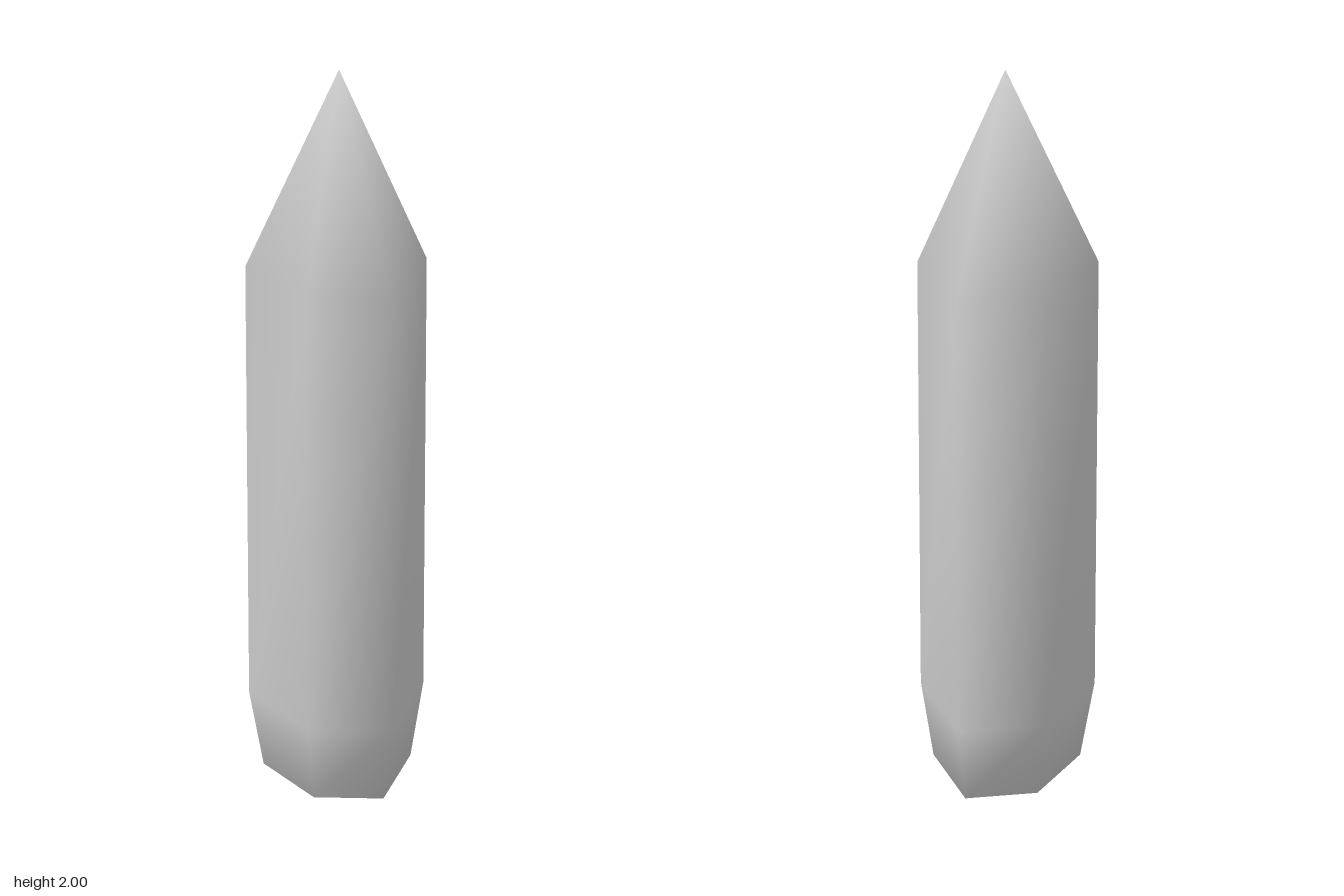
import * as THREE from 'three';

// Slightly irregular hexagon: [x, z] of each corner at the widest ring
const corners = [
  [0.005, 0.208], [0.194, 0.128], [0.188, -0.087],
  [0.005, -0.21], [-0.168, -0.083], [-0.196, 0.132],
];
// Rings from bottom to top: [height, scale]
const rings = [[0.05, 0.86], [0.29, 1], [1.52, 0.935]];

export function createModel() {
  const n = corners.length;
  const positions = [];
  const index = [];
  for (const [y, s] of rings) {
    for (const [x, z] of corners) positions.push(x * s, y, z * s);
  }

  // Lower and upper points
  const bottom = positions.length / 3;
  positions.push(0.003, 0, 0.02);
  const tip = bottom + 1;
  positions.push(0.003, 2, 0.02);

  const last = (rings.length - 1) * n;
  for (let i = 0; i < n; i++) {
    const j = (i + 1) % n;
    index.push(bottom, j, i);
    for (let r = 0; r < last; r += n) {
      index.push(r + i, r + j, r + n + j, r + i, r + n + j, r + n + i);
    }
    index.push(last + i, last + j, tip);
  }

  // Shared corners give the soft shading across the facets
  const geometry = new THREE.BufferGeometry();
  geometry.setAttribute('position', new THREE.Float32BufferAttribute(positions, 3));
  geometry.setIndex(index);
  geometry.computeVertexNormals();

  const crystal = new THREE.Mesh(geometry, new THREE.MeshStandardMaterial({ color: 0xcccccc }));
  crystal.name = 'crystal';
  const group = new THREE.Group();
  group.name = 'crystalShard';
  group.add(crystal);
  return group;
}
